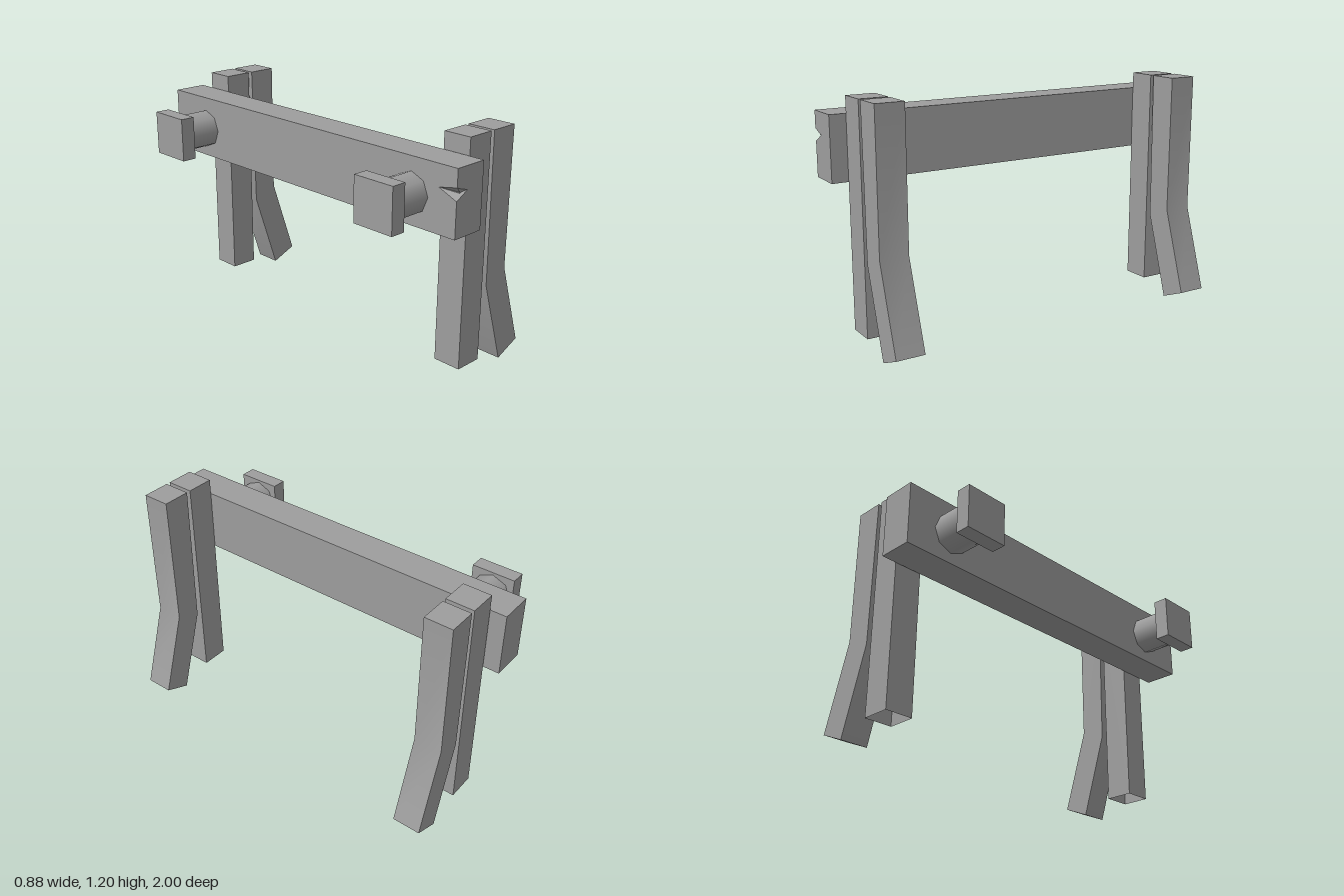
import * as THREE from 'three';
import { toCreasedNormals } from 'three/addons/utils/BufferGeometryUtils.js';

const color = 0x9d9d9d;
const flat = new THREE.MeshStandardMaterial({ color, flatShading: true, side: THREE.DoubleSide });
const smooth = new THREE.MeshStandardMaterial({ color, side: THREE.DoubleSide });

const extrude = (points, depth) => new THREE.ExtrudeGeometry(
  new THREE.Shape(points.map(([x, y]) => new THREE.Vector2(x, y))), { depth, bevelEnabled: false });

function add(parent, name, geometry, material, x = 0, y = 0, z = 0) {
  const mesh = new THREE.Mesh(geometry, material);
  mesh.name = name;
  mesh.position.set(x, y, z);
  parent.add(mesh);
}

// Leg from a side profile, hollow at the foot: triangles lying wholly on the foot edge are dropped.
// The gentle bend is shaded smoothly, the corners stay sharp.
function legGeometry(profile) {
  const source = extrude(profile, 0.147).getAttribute('position');
  const kept = [];
  for (let i = 0; i < source.count; i += 3) {
    const corners = [i, i + 1, i + 2];
    if (corners.every(k => source.getY(k) < 0.07)) continue;
    corners.forEach(k => kept.push(source.getX(k), source.getY(k), source.getZ(k)));
  }
  const geometry = new THREE.BufferGeometry();
  geometry.setAttribute('position', new THREE.Float32BufferAttribute(kept, 3));
  return toCreasedNormals(geometry, 0.6);
}

// Beam end with a small notch: shallow at its tip, running back to a point on the outer face
function notchedEnd(x0, x1, y0, y1, depth) {
  const geometry = extrude([[x0, y0], [x1, y0], [x1, y1], [x0, y1],
    [x0, 1.03], [-0.16, 1.016], [-0.125, 1.007], [x0, 0.968]], depth);
  const p = geometry.getAttribute('position');
  for (let i = 0; i < p.count; i++) {
    const inNotch = p.getY(i) > 0.9 && p.getY(i) < 1.1;
    if (!inNotch || p.getZ(i) > depth / 2) continue;
    if (p.getX(i) > x0 + 0.01) p.setXYZ(i, -0.16, 0.998, depth - 0.012);
    else p.setXY(i, x0, 1.01);
  }
  geometry.computeVertexNormals();
  return geometry;
}

export function createModel() {
  const model = new THREE.Group();
  model.name = 'trestle';

  // Cross beam
  const x0 = -0.197, x1 = -0.021, y0 = 0.792, y1 = 1.116, endDepth = 0.1;
  const beam = new THREE.Group();
  beam.name = 'beam';
  model.add(beam);
  add(beam, 'beamBody', new THREE.BoxGeometry(x1 - x0, y1 - y0, 2 - endDepth), flat,
    (x0 + x1) / 2, (y0 + y1) / 2, -endDepth / 2);
  add(beam, 'beamNotchedEnd', notchedEnd(x0, x1, y0, y1, endDepth), flat, 0, 0, 1 - endDepth);

  // Legs and pegs at both ends
  const straight = legGeometry([[-0.016, 0.058], [0.131, 0.058], [0.131, 1.2], [-0.016, 1.2]]);
  const bent = legGeometry([[0.302, 0], [0.441, 0.058], [0.3, 0.49], [0.302, 1.2], [0.153, 1.2], [0.163, 0.435]]);
  const peg = new THREE.CylinderGeometry(0.1, 0.1, 0.18, 8).rotateZ(Math.PI / 2);
  const plate = new THREE.BoxGeometry(0.077, 0.226, 0.227);

  for (const [end, side] of [['front', 1], ['back', -1]]) {
    const legZ = side * 0.845 - 0.0735;
    add(model, end + 'StraightLeg', straight, smooth, 0, 0, legZ);
    add(model, end + 'BentLeg', bent, smooth, 0, 0, legZ);
    add(model, end + 'Peg', peg, smooth, -0.28, 0.946, side * 0.742);
    add(model, end + 'PegPlate', plate, flat, -0.402, 0.946, side * 0.742);
  }
  return model;
}
